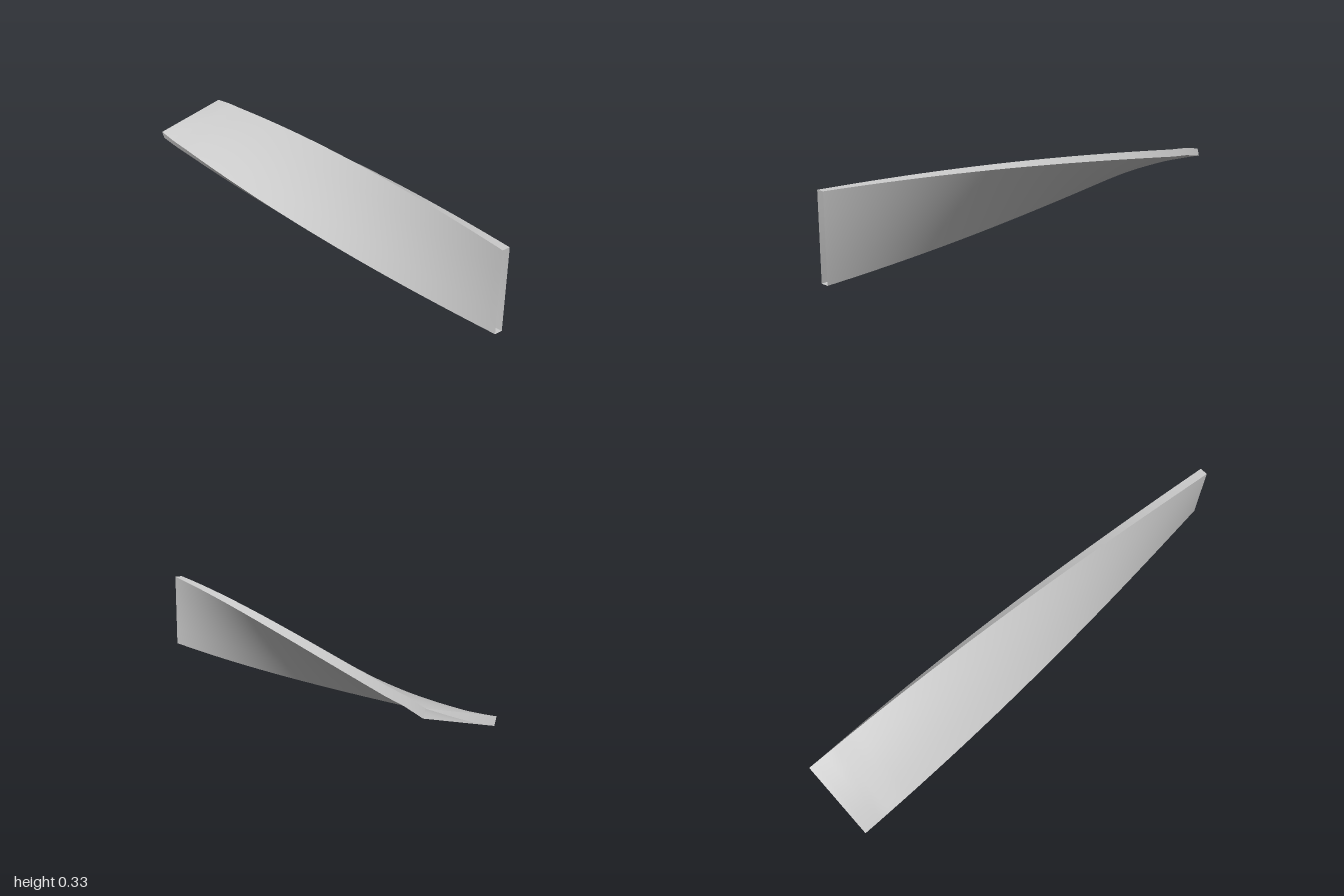
import * as THREE from 'three';

const THICK = 0.034, HEIGHT = 0.333, LENGTH = 2, CENTRE_Y = 0.1675;

// Twist in degrees along z: even for most of the length, then a slight kink at the back end
const STOPS = [[1, 0], [-0.8, 67.2], [-0.9, 69.8], [-1, 75]];

function twistAt(z) {
  for (let i = 1; i < STOPS.length; i++) {
    const [z0, a0] = STOPS[i - 1], [z1, a1] = STOPS[i];
    if (z >= z1 - 1e-6) return THREE.MathUtils.degToRad(THREE.MathUtils.mapLinear(z, z0, z1, a0, a1));
  }
  return THREE.MathUtils.degToRad(75);
}

export function createModel() {
  const group = new THREE.Group();
  group.name = 'twistedBar';

  // Flat rectangular tube, subdivided along its length
  const geo = new THREE.BoxGeometry(THICK, HEIGHT, LENGTH, 1, 4, 80);

  // Drop the front and back caps so both ends stay open
  const wallCount = geo.groups[4].start;
  geo.setIndex(Array.from(geo.index.array.slice(0, wallCount)));
  geo.clearGroups();

  // Turn each cross-section about the long axis
  const pos = geo.attributes.position;
  for (let i = 0; i < pos.count; i++) {
    const x = pos.getX(i), y = pos.getY(i), z = pos.getZ(i);
    const a = twistAt(z), c = Math.cos(a), s = Math.sin(a);
    pos.setXY(i, x * c + y * s, y * c - x * s + CENTRE_Y);
  }
  geo.computeVertexNormals();

  const walls = new THREE.Mesh(geo, new THREE.MeshStandardMaterial({ color: 0xcccccc, side: THREE.DoubleSide }));
  walls.name = 'twistedTubeWalls';
  group.add(walls);
  return group;
}
